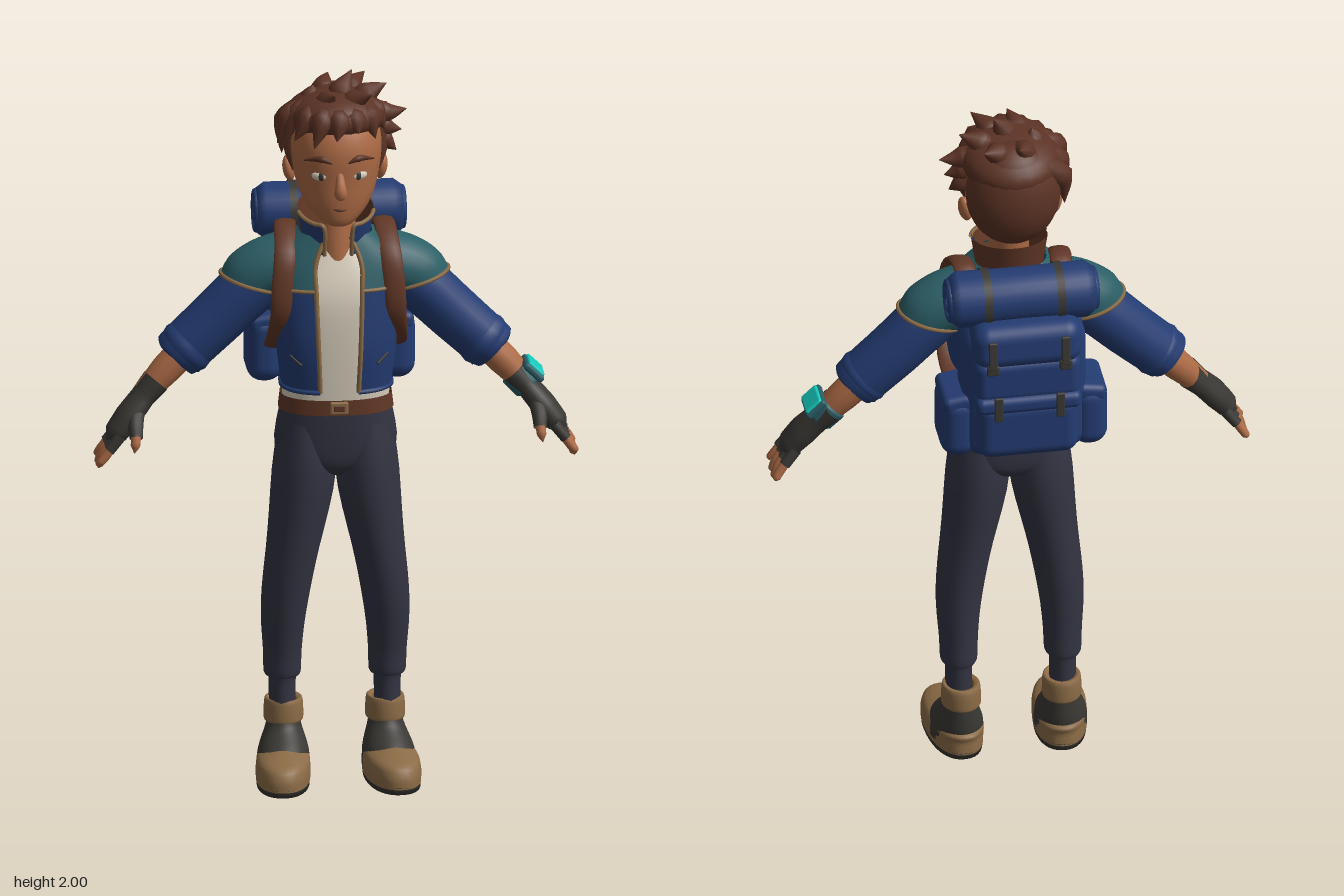
import * as THREE from 'three';
import { mergeVertices } from 'three/addons/utils/BufferGeometryUtils.js';
import { RoundedBoxGeometry } from 'three/addons/geometries/RoundedBoxGeometry.js';

const PI = Math.PI, { sin, cos } = Math, { lerp, smoothstep } = THREE.MathUtils;
const V = (x, y, z) => new THREE.Vector3(x, y, z);
const range = (n, f) => Array.from({ length: n }, (_, i) => f(i));
const paint = (name, color) => {
  const m = new THREE.MeshStandardMaterial({ color, side: THREE.DoubleSide });
  m.name = name;
  return m;
};
const M = {
  skin: paint('skin', 0xac6a45), hair: paint('hair', 0x5c3325), blue: paint('blue', 0x243c72),
  teal: paint('teal', 0x2b5e66), navy: paint('trousers', 0x343443), tan: paint('tan', 0x8c6c47),
  dark: paint('charcoal', 0x3a3834), cream: paint('cream', 0xd9cfbd), leather: paint('leather', 0x613726),
  cyan: paint('cyan', 0x14c8bc),
};

function add(parent, name, geo, mat, p = [0, 0, 0], r = [0, 0, 0], s = [1, 1, 1]) {
  const m = new THREE.Mesh(geo, mat);
  m.name = name;
  m.position.set(...p);
  m.rotation.set(...r);
  m.scale.set(...s);
  parent.add(m);
}

// Smooth surface through a grid of points
function skinGrid(grid) {
  const w = grid[0].length, idx = [];
  for (let i = 0; i < grid.length - 1; i++) for (let j = 0; j < w - 1; j++) {
    const a = i * w + j, b = a + 1, c = a + w, d = c + 1;
    idx.push(a, b, c, b, d, c);
  }
  let g = new THREE.BufferGeometry().setFromPoints(grid.flat());
  g.setIndex(idx);
  g = mergeVertices(g, 1e-5);
  g.computeVertexNormals();
  return g;
}

// Catmull-Rom blending of rows of numbers
function refine(rows, sub) {
  const out = [], at = i => rows[Math.min(rows.length - 1, Math.max(0, i))];
  for (let i = 0; i < rows.length - 1; i++) for (let k = 0; k < sub; k++) {
    const t = k / sub;
    out.push(rows[i].map((b, c) => {
      const a = at(i - 1)[c], d = at(i + 1)[c], e = at(i + 2)[c];
      return b + 0.5 * t * (d - a + t * (2 * a - 5 * b + 4 * d - e + t * (3 * (b - d) + e - a)));
    }));
  }
  return [...out, at(rows.length)];
}

// Upright cross-sections [y, halfWidth, backZ, frontZ]; angle 0 is the front
const pw = (v, e) => Math.sign(v) * Math.abs(v) ** e;
function ringPoint([y, w, zb, zf], a, e = 1, tilt = 0, x = 0) {
  const dz = pw(cos(a), e) * Math.max(5e-4, (zf - zb) / 2);
  return V(x + Math.max(5e-4, w) * pw(sin(a), e), y - tilt * dz, (zf + zb) / 2 + dz);
}
function loft(rows, { a0 = 0, a1 = PI * 2, n = 36, e = 1, tilt = 0, sub = 4, shift = () => 0 } = {}) {
  return skinGrid(refine(rows, sub).map(r =>
    range(n + 1, j => ringPoint(r, lerp(a0, a1, j / n), e, tilt, shift(r[0])))));
}

// Round limb through [x, y, z, radius]; k widens it along ref
function limb(pts, { k = 1, ref = V(0, 0, 1), n = 12, sub = 4 } = {}) {
  const curve = new THREE.CatmullRomCurve3(pts.map(p => V(p[0], p[1], p[2])));
  const steps = (pts.length - 1) * sub;
  return skinGrid(range(steps + 1, i => {
    const f = i / sub, q = Math.min(pts.length - 2, Math.floor(f));
    const r = lerp(pts[q][3], pts[q + 1][3], f - q);
    const c = curve.getPoint(i / steps), t = curve.getTangent(i / steps);
    const s = ref.clone().addScaledVector(t, -ref.dot(t)).normalize(), u = s.clone().cross(t);
    return range(n + 1, j => c.clone().addScaledVector(u, r * cos(j / n * PI * 2)).addScaledVector(s, r * k * sin(j / n * PI * 2)));
  }));
}
const cord = (pts, r, closed = false) =>
  new THREE.TubeGeometry(new THREE.CatmullRomCurve3(pts, closed), 40, r, 6, closed);
const box = (w, h, d, r) => new RoundedBoxGeometry(w, h, d, 4, r);
const ball = () => new THREE.SphereGeometry(1, 24, 16);

function buildHead(g) {
  add(g, 'neck', loft([[1.44, .06, .01, .15], [1.52, .055, .01, .14], [1.67, .055, 0, .12]]), M.skin);
  add(g, 'head', loft([[1.594, 0, .15, .15], [1.602, .04, .09, .194], [1.65, .088, 0, .206], [1.72, .114, -.05, .208],
    [1.82, .124, -.07, .207], [1.9, .095, -.05, .16], [1.935, 0, .05, .05]], { e: .93 }), M.skin);
  add(g, 'nose', limb([[0, 1.76, .198, .008], [0, 1.7, .222, .019], [0, 1.684, .2, .001]], { ref: V(1, 0, 0) }), M.skin);
  add(g, 'mouth', limb([[-.036, 1.657, .194, .001], [0, 1.65, .206, .0045], [.036, 1.657, .194, .001]]), M.leather);
  for (const s of [-1, 1]) {
    add(g, 'ear', ball(), M.skin, [s * .125, 1.725, .045], [0, s * .3, -s * .15], [.017, .037, .025]);
    add(g, 'eye', ball(), M.cream, [s * .052, 1.745, .19], [0, s * .35, 0], [.025, .014, .011]);
    add(g, 'iris', ball(), M.dark, [s * .05, 1.745, .197], [0, s * .25, 0], [.01, .012, .006]);
    add(g, 'eyebrow', limb([[s * .02, 1.783, .206, .003], [s * .05, 1.795, .2, .01], [s * .095, 1.785, .17, .002]]), M.hair);
    add(g, 'sideburn', limb([[s * .112, 1.85, .06, .03], [s * .12, 1.78, .075, .02], [s * .118, 1.73, .09, .001]]), M.hair);
  }
  add(g, 'backHair', ball(), M.hair, [0, 1.795, 0], [0, 0, 0], [.13, .155, .105]);
  add(g, 'topHair', ball(), M.hair, [0, 1.877, .053], [-.1, 0, 0], [.137, .075, .15]);
  // Pointed locks from root over bend to tip
  const lock = (root, bend, tip, r = .034) => add(g, 'hairLock', limb([[...root, r * .9], [...bend, r], [...tip, .001]],
    { ref: V(.55, .35, .76).normalize(), n: 9, sub: 5 }), M.hair);
  for (let i = -3; i <= 3; i++) {
    const x = sin(i * .42), z = cos(i * .42), drop = i % 2 * .02;
    lock([.06 * x, 1.91, .05 + .065 * z], [.11 * x, 1.89, .05 + .135 * z], [.148 * x - .01, 1.815 + .035 * z + drop, .05 + .17 * z]);
  }
  for (let i = 0; i < 3; i++) {
    lock([.08, 1.9 - i * .03, .05], [.135, 1.88 - i * .04, .06], [.195 - i * .015, 1.885 - i * .055, .05 + i * .01], .031 - i * .002);
    lock([-.08, 1.9 - i * .01, .06 - i * .04], [-.13, 1.88 - i * .02, .08 - i * .045], [-.16 + i * .01, 1.81 - i * .03, .09 - i * .05]);
  }
  for (let i = 0; i < 6; i++) {
    const x = cos(i * PI / 3), z = sin(i * PI / 3);
    lock([.045 * x, 1.9, .05 + .05 * z], [.075 * x + .012, 1.932, .05 + .08 * z], [.1 * x + .04, 1.96, .05 + .125 * z]);
  }
  lock([0, 1.9, .08], [.015, 1.95, .07], [.045, 2, .05]);
}

function buildTorso(g) {
  const e = .8, gap = .27, end = PI * 2 - gap, arc = { a0: gap, a1: end, n: 44, e };
  add(g, 'shirt', loft([[1.085, .145, -.03, .17], [1.3, .155, -.04, .182], [1.41, .165, -.03, .172], [1.52, .075, 0, .13]], { e }), M.cream);
  const low = [[1.125, .15, -.035, .19], [1.25, .165, -.04, .2], [1.41, .18, -.045, .184]];
  const high = [low[2], [1.48, .18, -.045, .165], [1.555, .1, -.02, .145]];
  add(g, 'jacketBody', loft(low, arc), M.blue);
  add(g, 'jacketYoke', loft(high, arc), M.teal);
  add(g, 'jacketHem', cord(range(31, i => ringPoint(low[0], lerp(gap, end, i / 30), e)), .007), M.blue);
  // Standing collar, leaning up towards the back
  const col = [[1.52, .09, -.03, .15], [1.615, .104, -.05, .176]], tilt = .22;
  const lining = col.map(([y, w, b, f]) => [y, w - .005, b + .005, f - .005]);
  add(g, 'collarBack', loft(col, { a0: 1.35, a1: PI * 2 - 1.35, tilt }), M.leather);
  add(g, 'collarLining', loft(lining, { a0: .45, a1: PI * 2 - .45, tilt }), M.leather);
  for (const s of [-1, 1]) {
    add(g, 'frontTrim', cord([...low, ...high.slice(1)].map(r => ringPoint(r, s * gap, e)), .0065), M.tan);
    add(g, 'yokePiping', cord(range(9, i => ringPoint(low[2], s * (gap + i * .14), e)), .0055), M.tan);
    add(g, 'pocketSlit', box(.045, .008, .009, .003), M.dark, [s * .118, 1.215, .172], [0, s * .6, s * .6]);
    add(g, 'collarFront', loft(col, { a0: s * .9 - .48, a1: s * .9 + .48, tilt, n: 12 }), M.blue);
    add(g, 'collarTrim', cord([ringPoint(col[0], s * .42, 1, tilt), ...range(5, i => ringPoint(col[1], s * (.42 + i * .24), 1, tilt))], .006), M.tan);
  }
  add(g, 'hips', loft([[.865, .03, .03, .11], [.89, .09, -.015, .15], [.94, .165, -.034, .165], [1.07, .15, -.03, .17]], { e: .9 }), M.navy);
  add(g, 'belt', loft([[1.055, .157, -.036, .177], [1.098, .152, -.035, .176]], { e: .85 }), M.leather);
  add(g, 'beltBuckle', box(.05, .036, .012, .005), M.tan, [0, 1.077, .177]);
  add(g, 'beltBuckleCentre', box(.03, .018, .008, .003), M.leather, [0, 1.077, .181]);
}

function buildLeg(g) {
  add(g, 'trouserLeg', loft([[.2, .036, -.005, .085], [.28, .038, -.006, .086], [.29, .05, -.018, .1], [.36, .053, -.018, .108],
    [.5, .064, -.02, .137], [.65, .072, -.025, .157], [.87, .087, -.035, .17], [1.02, .07, -.015, .155]],
  { shift: y => .143 - .06 * smoothstep(y, .4, .95) }), M.navy);
  const boot = new THREE.Group();
  boot.name = 'boot';
  boot.position.set(.139, 0, .035);
  boot.rotation.y = .1;
  g.add(boot);
  add(boot, 'sole', loft([[0, 0, .09, .09], [.0005, .072, -.062, .238], [.02, .074, -.065, .24]], { e: .88, sub: 1 }), M.dark);
  add(boot, 'shoe', loft([[.015, .074, -.065, .24], [.05, .074, -.063, .236], [.08, .063, -.058, .205], [.105, 0, .08, .08]], { e: .88 }), M.tan);
  add(boot, 'bootShaft', loft([[.03, .073, -.045, .14], [.08, .069, -.061, .14], [.14, .048, -.06, .061], [.18, .045, -.056, .048]]), M.dark);
  add(boot, 'bootCuff', loft([[.15, .05, -.062, .05], [.16, .054, -.065, .053], [.212, .051, -.062, .05], [.21, .036, -.043, .037]]), M.tan);
}

function buildArm(g) {
  add(g, 'sleeve', limb([[.15, 1.45, .035, .076], [.24, 1.377, .035, .079], [.32, 1.3, .035, .077], [.425, 1.2, .04, .073],
    [.43, 1.193, .04, .04]], { n: 20 }), M.blue);
  add(g, 'sleeveCuff', limb([[.375, 1.247, .038, .07], [.405, 1.22, .04, .078], [.432, 1.195, .04, .066]], { n: 20 }), M.blue);
  // Shoulder cap [x, y, outward, upward, depth] with a nearly level lower edge
  const caps = [[.1, 1.455, 0, .095, .095], [.16, 1.437, .05, .082, .092], [.2, 1.42, .081, .055, .087], [.218, 1.402, .092, .026, .083]];
  const ring = ([x, y, ux, uy, d]) => range(25, j => {
    const a = j / 12 * PI;
    return V(x + ux * cos(a), y + uy * cos(a), .035 + d * sin(a));
  });
  add(g, 'shoulder', skinGrid(refine(caps, 4).map(ring)), M.teal);
  add(g, 'shoulderPiping', cord(ring(caps[3]).slice(1), .006, true), M.tan);
  add(g, 'forearm', limb([[.39, 1.23, .037, .045], [.46, 1.16, .045, .043], [.52, 1.095, .055, .034]]), M.skin);
  add(g, 'glove', limb([[.488, 1.13, .05, .038], [.525, 1.088, .06, .033], [.565, 1.04, .076, .036], [.6, .995, .085, .032],
    [.617, .97, .087, .012]], { k: 1.5 }), M.dark);
  for (let i = 0; i < 4; i++) {
    const z = .043 + i * .029, tip = .032 + i * .034, mid = (z + tip) / 2, up = .018 * ((i - 1.4) / 1.6) ** 2;
    add(g, 'fingerSleeve', limb([[.59, 1, z, .016], [.622, .96, mid, .0155]]), M.dark);
    add(g, 'finger', limb([[.61, .975, z, .013], [.635, .94, mid, .013], [.646, .908 + up, tip, .011], [.648, .899 + up, tip, .001]]), M.skin);
  }
  const ref = V(1, 0, 0);
  add(g, 'thumbSleeve', limb([[.545, 1.06, .09, .024], [.55, 1.025, .13, .021], [.55, .998, .15, .018]], { ref }), M.dark);
  add(g, 'thumb', limb([[.55, 1.01, .145, .014], [.553, .98, .158, .013], [.556, .96, .163, .001]], { ref }), M.skin);
}

function buildPack(g) {
  add(g, 'packBody', box(.34, .41, .18, .06), M.blue, [0, 1.28, -.135]);
  add(g, 'packLid', box(.3, .13, .2, .045), M.blue, [0, 1.445, -.165], [.06, 0, 0]);
  add(g, 'packPanel', box(.29, .13, .08, .03), M.blue, [0, 1.345, -.22]);
  add(g, 'packPocket', box(.28, .18, .1, .04), M.blue, [0, 1.19, -.215]);
  add(g, 'pocketFlap', box(.29, .05, .1, .02), M.blue, [0, 1.275, -.222]);
  const roll = [[0, -.2], [.06, -.2], [.078, -.175], [.075, 0], [.078, .175], [.06, .2], [0, .2]];
  const axle = [0, 1.548, -.132], side = [0, 0, PI / 2];
  add(g, 'bedroll', new THREE.LatheGeometry(roll.map(p => new THREE.Vector2(...p)), 28), M.blue, axle, side);
  for (const s of [-1, 1]) {
    const at = x => [s * x, axle[1], axle[2]];
    for (const r of [.052, .026]) add(g, 'bedrollCoil', new THREE.TorusGeometry(r, .009, 8, 24), M.blue, at(.199), [0, PI / 2, 0]);
    add(g, 'bedrollStrap', new THREE.CylinderGeometry(.081, .081, .022, 28, 1, true), M.dark, at(.1), side);
    add(g, 'sidePouch', box(.1, .19, .17, .045), M.blue, [s * .18, 1.175, -.125]);
    add(g, 'pouchFlap', box(.085, .05, .16, .02), M.blue, [s * .183, 1.25, -.125], [0, 0, -s * .15]);
    add(g, 'lidStrap', box(.024, .085, .012, .004), M.dark, [s * .1, 1.44, -.266], [.06, 0, 0]);
    add(g, 'lidBuckle', box(.034, .03, .014, .005), M.dark, [s * .1, 1.395, -.266]);
    add(g, 'pocketStrap', box(.024, .075, .01, .004), M.dark, [s * .085, 1.27, -.27]);
    const path = [[.12, 1.47, -.07], [.133, 1.56, .01], [.142, 1.51, .128], [.152, 1.42, .158], [.156, 1.33, .152], [.165, 1.24, .08], [.155, 1.19, -.07]];
    add(g, 'shoulderStrap', limb(path.map(([x, y, z]) => [s * x, y, z, .01]), { ref: V(1, 0, 0), k: 3, sub: 5 }), M.leather);
  }
}

// Wrist device worn on the left arm only
function buildWristDevice(g) {
  add(g, 'wristBand', limb([[.487, 1.133, .05, .036], [.49, 1.13, .05, .046], [.525, 1.092, .057, .045], [.528, 1.089, .057, .034]]), M.teal);
  add(g, 'wristHousing', box(.068, .02, .095, .008), M.teal, [.537, 1.138, .06], [0, 0, -.765]);
  add(g, 'wristScreen', box(.056, .016, .082, .006), M.cyan, [.543, 1.145, .06], [0, 0, -.765]);
}

export function createModel() {
  const model = new THREE.Group();
  model.name = 'backpackTraveller';
  const part = (name, build, s = 1) => {
    const g = new THREE.Group();
    g.name = name;
    g.scale.x = s;
    build(g);
    model.add(g);
  };
  part('headGroup', buildHead);
  part('torso', buildTorso);
  part('backpack', buildPack);
  part('wristDevice', buildWristDevice);
  for (const s of [1, -1]) {
    part(s > 0 ? 'leftLeg' : 'rightLeg', buildLeg, s);
    part(s > 0 ? 'leftArm' : 'rightArm', buildArm, s);
  }
  return model;
}
